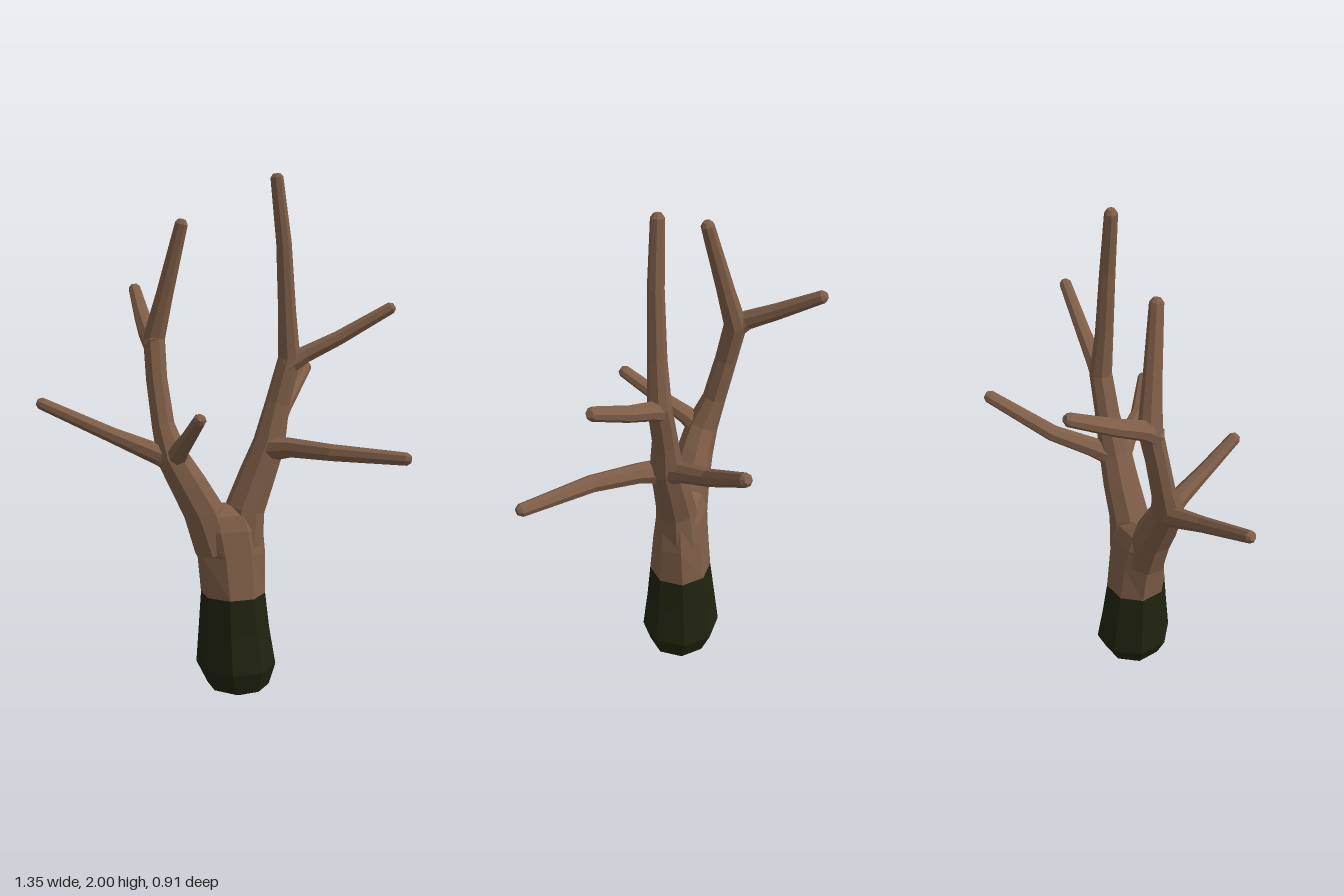
import * as THREE from 'three';

const SIDES = 8;

// Skins a list of rings (arrays of Vector3) and closes both ends.
function skin(rings) {
  const pos = [], idx = [], n = SIDES;
  rings.forEach(r => r.forEach(p => pos.push(p.x, p.y, p.z)));
  for (let i = 0; i < rings.length - 1; i++) {
    for (let j = 0; j < n; j++) {
      const a = i * n + j, b = i * n + (j + 1) % n;
      idx.push(a, b, a + n, b, b + n, a + n);
    }
  }
  const last = (rings.length - 1) * n;
  for (let j = 1; j < n - 1; j++) {
    idx.push(0, j + 1, j);
    idx.push(last, last + j, last + j + 1);
  }
  const g = new THREE.BufferGeometry();
  g.setAttribute('position', new THREE.Float32BufferAttribute(pos, 3));
  g.setIndex(idx);
  g.computeVertexNormals();
  return g;
}

// Horizontal oval rings: [y, centre x, centre z, radius x, radius z]
function stack(levels) {
  return skin(levels.map(([y, cx, cz, rx, rz]) =>
    Array.from({ length: SIDES }, (_, j) => {
      const a = (j + 0.5) / SIDES * Math.PI * 2;
      return new THREE.Vector3(cx + rx * 1.05 * Math.sin(a), y, cz + rz * 1.05 * Math.cos(a));
    })));
}

// Tapering limb through [x, y, z, radius] points, with a blunt rounded tip.
function limb(points) {
  const pts = points.map(p => new THREE.Vector3(p[0], p[1], p[2]));
  const rad = points.map(p => p[3]);
  const end = pts.length - 1;
  const dir = pts[end].clone().sub(pts[end - 1]).normalize();
  const tip = pts[end].clone();
  pts[end].addScaledVector(dir, -0.6 * rad[end]);
  pts.push(tip);
  rad.push(rad[end] * 0.55);
  let u = new THREE.Vector3(0.3, 0.1, 1);
  return skin(pts.map((p, i) => {
    const t = pts[Math.min(i + 1, pts.length - 1)].clone().sub(pts[Math.max(i - 1, 0)]).normalize();
    u = u.clone().addScaledVector(t, -u.dot(t)).normalize();
    const v = t.clone().cross(u);
    return Array.from({ length: SIDES }, (_, j) => {
      const a = j / SIDES * Math.PI * 2;
      return p.clone().addScaledVector(u, rad[i] * Math.cos(a)).addScaledVector(v, rad[i] * Math.sin(a));
    });
  }));
}

export function createModel() {
  const model = new THREE.Group();
  model.name = 'bareTree';
  const bark = new THREE.MeshStandardMaterial({ name: 'bark brown', color: 0x7f5e48, flatShading: true });
  const moss = new THREE.MeshStandardMaterial({ name: 'dark moss', color: 0x20230f, flatShading: true });
  const add = (name, geometry, material = bark) => {
    const m = new THREE.Mesh(geometry, material);
    m.name = name;
    model.add(m);
  };

  // Swollen foot and trunk
  add('mossyBase', stack([
    [0.0, 0.08, 0.015, 0.02, 0.02],
    [0.045, 0.08, 0.015, 0.115, 0.115],
    [0.13, 0.072, 0.01, 0.148, 0.148],
    [0.28, 0.063, 0.012, 0.131, 0.13],
    [0.42, 0.058, 0.015, 0.119, 0.115],
  ]), moss);
  add('trunk', stack([
    [0.42, 0.058, 0.015, 0.119, 0.115],
    [0.58, 0.05, 0.015, 0.128, 0.1],
    [0.68, 0.035, 0.015, 0.135, 0.09],
    [0.74, 0.03, 0.015, 0.12, 0.07],
    [0.77, 0.03, 0.015, 0.06, 0.03],
  ]));

  // Right-hand limb with its three side branches
  add('rightLimb', limb([
    [-0.01, 0.6, 0.015, 0.085],
    [-0.06, 0.75, 0.015, 0.08],
    [-0.12, 0.86, 0.01, 0.072],
    [-0.175, 0.96, -0.005, 0.062],
    [-0.2, 1.08, -0.045, 0.045],
    [-0.213, 1.25, -0.085, 0.042],
    [-0.213, 1.4, -0.118, 0.044],
    [-0.18, 1.56, -0.085, 0.034],
    [-0.125, 1.835, -0.028, 0.025],
  ]));
  add('rightOuterBranch', limb([
    [-0.15, 0.94, -0.005, 0.05],
    [-0.23, 0.975, -0.02, 0.04],
    [-0.4, 1.055, -0.02, 0.029],
    [-0.67, 1.19, -0.032, 0.022],
  ]));
  add('rightFrontBranch', limb([
    [-0.165, 0.95, 0.0, 0.045],
    [-0.167, 0.995, 0.06, 0.036],
    [-0.165, 1.06, 0.17, 0.029],
    [-0.163, 1.16, 0.325, 0.024],
  ]));
  add('rightBackBranch', limb([
    [-0.215, 1.37, -0.1, 0.042],
    [-0.228, 1.42, -0.16, 0.036],
    [-0.222, 1.475, -0.27, 0.031],
    [-0.208, 1.575, -0.45, 0.024],
  ]));

  // Left-hand limb with its three side branches
  add('leftLimb', limb([
    [0.09, 0.6, 0.015, 0.085],
    [0.105, 0.75, 0.015, 0.077],
    [0.155, 0.88, 0.015, 0.07],
    [0.2, 1.0, 0.02, 0.062],
    [0.235, 1.15, 0.012, 0.047],
    [0.28, 1.32, 0.015, 0.043],
    [0.265, 1.5, 0.025, 0.034],
    [0.247, 1.75, 0.032, 0.029],
    [0.215, 2.0, 0.032, 0.024],
  ]));
  add('leftOuterBranch', limb([
    [0.265, 1.29, 0.015, 0.042],
    [0.34, 1.335, 0.03, 0.034],
    [0.46, 1.395, 0.06, 0.029],
    [0.665, 1.515, 0.11, 0.024],
  ]));
  add('leftBackBranch', limb([
    [0.2, 0.99, 0.01, 0.05],
    [0.245, 1.03, -0.06, 0.038],
    [0.33, 1.095, -0.18, 0.032],
    [0.505, 1.25, -0.36, 0.025],
  ]));
  add('leftFrontBranch', limb([
    [0.19, 0.98, 0.03, 0.05],
    [0.25, 0.995, 0.11, 0.039],
    [0.36, 0.995, 0.25, 0.033],
    [0.585, 0.992, 0.44, 0.025],
  ]));

  return model;
}
